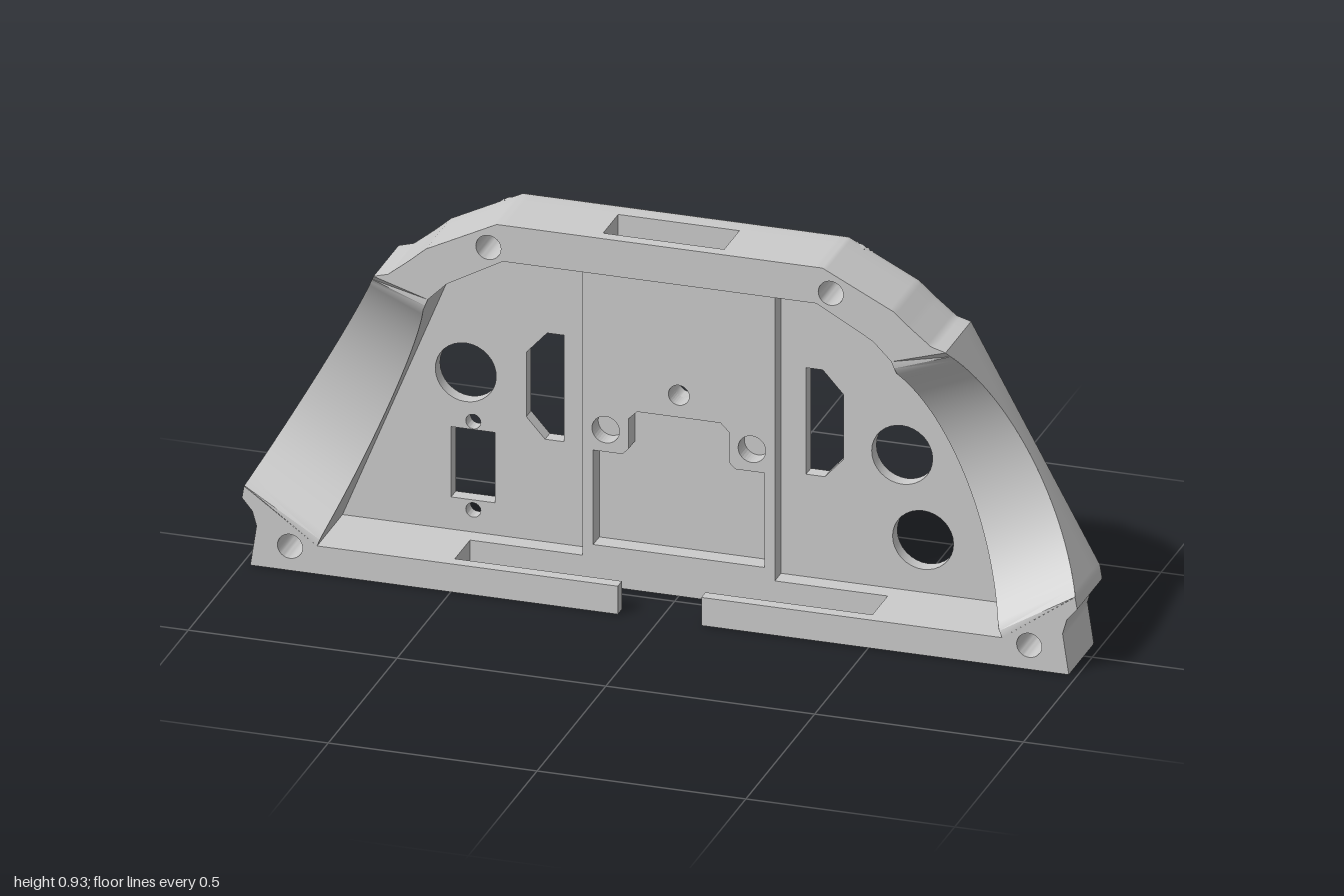
import * as THREE from 'three';
import { toCreasedNormals } from 'three/addons/utils/BufferGeometryUtils.js';

const BACK = -0.11, FRONT = 0.11, FLOOR = -0.075, PANEL = -0.03, SLOT = 0.08;
const ROUND = 0.045, SEAT = BACK + ROUND, BORE = 0.045;

// Right halves of the outer and inner outlines, bottom centre to top centre
const OUTER = [[0.1, 0], [0.5, 0], [0.98, 0], [0.965, 0.1], [0.975, 0.135], [1, 0.165], [0.995, 0.195],
  [0.685, 0.76], [0.65, 0.77], [0.6, 0.81], [0.56, 0.845], [0.53, 0.86], [0.39, 0.93], [0.145, 0.93]];
const INNER = [[0.1, 0.07], [0.5, 0.07], [0.82, 0.07], [0.555, 0.72], [0.51, 0.765], [0.375, 0.84], [0.145, 0.84]];
const SCREWS = [[0.41, 0.87], [-0.41, 0.87], [0.885, 0.06], [-0.885, 0.06]];

const mirror = pts => pts.map(([x, y]) => [-x, y]);
const full = half => [...half, ...mirror(half).reverse()];
const lerp = (a, b, k) => [a[0] + (b[0] - a[0]) * k, a[1] + (b[1] - a[1]) * k];
const circle = (x, y, r, n = 32) => Array.from({ length: n }, (_, i) => {
  const a = i / n * Math.PI * 2;
  return [x + r * Math.cos(a), y + r * Math.sin(a)];
});

// Height of the front edge: a cylinder scoops out each slanted side
function frontZ([x, y]) {
  const t = (Math.abs(x) - 0.84) * -0.477 + (y - 0.475) * 0.879, R = 0.4515;
  if (y < 0.08 || Math.abs(t) > 0.322) return FRONT;
  return FRONT - (Math.sqrt(R * R - t * t) - (R - 0.135));
}

// Inward mitred offset of the outer outline; the bottom edge stays flat
function inset(pts, d) {
  const n = pts.length;
  const normal = (a, b) => {
    const l = Math.hypot(b[0] - a[0], b[1] - a[1]);
    return [-(b[1] - a[1]) / l, (b[0] - a[0]) / l];
  };
  return pts.map((p, i) => {
    const a = normal(pts[(i + n - 1) % n], p), b = normal(p, pts[(i + 1) % n]);
    if (p[1] === 0) return Math.abs(p[0]) < 0.9 ? p : [p[0] - Math.sign(p[0]) * d, 0];
    const k = d / (1 + a[0] * b[0] + a[1] * b[1]);
    return [p[0] + (a[0] + b[0]) * k, p[1] + (a[1] + b[1]) * k];
  });
}

// Surface through columns of points, leaving out quads rejected by keep(x, y, z)
function loft(cols, closed = false, keep = () => true) {
  const pos = [];
  for (let i = 0; i < cols.length - (closed ? 0 : 1); i++) {
    const A = cols[i], B = cols[(i + 1) % cols.length];
    for (let j = 0; j < A.length - 1; j++) {
      const q = [A[j], B[j], B[j + 1], A[j + 1]];
      const c = [0, 1, 2].map(k => (q[0][k] + q[1][k] + q[2][k] + q[3][k]) / 4);
      if (keep(...c)) for (const k of [0, 1, 2, 0, 2, 3]) pos.push(...q[k]);
    }
  }
  const g = new THREE.BufferGeometry();
  g.setAttribute('position', new THREE.Float32BufferAttribute(pos, 3));
  return toCreasedNormals(g, 0.6);
}

const toShape = (pts, holes = []) => {
  const s = new THREE.Shape(pts.map(p => new THREE.Vector2(...p)));
  s.holes = holes.map(h => new THREE.Path(h.map(p => new THREE.Vector2(...p))));
  return s;
};
const tube = (pts, z0, z1) => loft(pts.map(([x, y]) => [[x, y, z0], [x, y, z1]]), true);

export function createModel() {
  const group = new THREE.Group();
  const mat = new THREE.MeshStandardMaterial({ color: 0xcccccc, side: THREE.DoubleSide });
  const add = (name, geo, z = 0) => {
    const m = new THREE.Mesh(geo, mat);
    m.name = name;
    m.position.z = z;
    group.add(m);
    return m;
  };
  const flat = (name, pts, holes, z) => add(name, new THREE.ShapeGeometry(toShape(pts, holes)), z);

  // Finely divided outlines: outer edge p with its inset o
  const outer = full(OUTER), rim = inset(outer, ROUND), inner = full(INNER);
  const divide = (pts, fn) => pts.forEach((p, i) => {
    const j = (i + 1) % pts.length;
    const n = Math.ceil(Math.hypot(pts[j][0] - p[0], pts[j][1] - p[1]) / 0.01);
    for (let k = 0; k < n; k++) fn(i, j, k / n);
  });
  const edge = [], innerEdge = [];
  divide(outer, (i, j, k) => edge.push({ p: lerp(outer[i], outer[j], k), o: lerp(rim[i], rim[j], k) }));
  divide(inner, (i, j, k) => innerEdge.push(lerp(inner[i], inner[j], k)));

  // Openings in the walls: top slot, bottom slot with its front gap, screw recesses
  const keep = (x, y, z) => {
    const inSlot = z > PANEL && z < SLOT, ax = Math.abs(x);
    if (y > 0.8 && ax < 0.145 && inSlot) return false;
    if (y < 0.0701 && ((ax < 0.5 && inSlot) || (ax < 0.1 && z > SLOT))) return false;
    return z > SEAT || !SCREWS.some(s => Math.hypot(x - s[0], y - s[1]) < BORE);
  };

  // Outer skin with rounded back edge
  add('outerWall', loft(edge.map(({ p, o }) => {
    const col = [];
    for (let k = 8; k >= 0; k--) {
      const a = k / 8 * Math.PI / 2;
      col.push([...lerp(p, o, 1 - Math.cos(a)), SEAT - ROUND * Math.sin(a)]);
    }
    for (const z of [PANEL, SLOT, FRONT]) col.push([...p, Math.min(z, frontZ(p))]);
    return col;
  }), true, keep));
  add('innerWall', loft(innerEdge.map(p =>
    [FLOOR, PANEL, SLOT, FRONT].map(z => [...p, Math.min(z, frontZ(p))])), true, keep));

  // Front rims and scooped sides
  flat('topRim', [...full(OUTER.slice(7)), ...full(INNER.slice(3)).reverse()],
    SCREWS.slice(0, 2).map(s => circle(...s, 0.03)), FRONT);
  for (const s of [1, -1]) {
    const m = pts => s > 0 ? pts : mirror(pts);
    flat('bottomRim', m([...OUTER.slice(0, 7), ...INNER.slice(0, 3).reverse()]),
      [circle(0.885 * s, 0.06, 0.03)], FRONT);
    const cols = [];
    for (let k = 0; k <= 40; k++) {
      const ends = [lerp(OUTER[6], OUTER[7], k / 40), lerp(INNER[2], INNER[3], k / 40)];
      cols.push(m(ends).map(p => [...p, frontZ(p)]));
    }
    add('sideScoop', loft(cols));
  }

  // Slot linings
  const lining = (name, path, y0, y1, closed) =>
    add(name, loft(path.map(([x, z]) => [[x, y0, z], [x, y1, z]]), closed));
  lining('topSlot', [[0.145, PANEL], [0.145, SLOT], [-0.145, SLOT], [-0.145, PANEL]], 0.84, 0.93, true);
  const half = [[0.1, FRONT], [0.1, SLOT], [0.5, SLOT], [0.5, PANEL]];
  lining('bottomSlot', full(half), 0, 0.07, false);

  // Openings through the back plate
  const hex = [[0.29, 0.325], [0.335, 0.325], [0.38, 0.375], [0.38, 0.535], [0.33, 0.59], [0.29, 0.59]];
  const centre = circle(0, 0.5, 0.025);
  const cutouts = [hex, mirror(hex), centre,
    circle(0.52, 0.405, 0.073), circle(0.57, 0.2, 0.073), circle(-0.525, 0.465, 0.073),
    [[-0.56, 0.15], [-0.455, 0.15], [-0.455, 0.325], [-0.56, 0.325]],
    circle(-0.507, 0.345, 0.018), circle(-0.507, 0.125, 0.018)];
  cutouts.forEach(c => add('cutoutEdge', tube(c, BACK, FLOOR)));
  flat('floor', inner, cutouts, FLOOR);

  // Back face, notched where the screw recesses cut its edge
  const backPts = [];
  let hit = null;
  for (const { o } of edge) {
    const s = SCREWS.find(c => Math.hypot(o[0] - c[0], o[1] - c[1]) < BORE);
    if (!s && hit) {
      const q = backPts[backPts.length - 1];
      const a0 = Math.atan2(q[1] - hit[1], q[0] - hit[0]);
      let a1 = Math.atan2(o[1] - hit[1], o[0] - hit[0]);
      if (a1 > a0) a1 -= Math.PI * 2;
      for (let k = 0; k <= 24; k++) {
        const a = a0 + (a1 - a0) * k / 24;
        backPts.push([hit[0] + BORE * Math.cos(a), hit[1] + BORE * Math.sin(a)]);
      }
    }
    hit = s;
    if (!s) backPts.push(o);
  }
  flat('backFace', backPts, cutouts, BACK);

  // Screw holes with recesses that follow the rounded edge
  const backZ = ([x, y]) => {
    const d = Math.min(...edge.filter(e => e.p[1] > 0).map(e => Math.hypot(x - e.p[0], y - e.p[1])));
    return d > ROUND ? BACK : SEAT - Math.sqrt(ROUND ** 2 - (ROUND - d) ** 2);
  };
  for (const [x, y] of SCREWS) {
    add('screwHole', tube(circle(x, y, 0.03), SEAT, FRONT));
    add('screwRecess', loft(circle(x, y, BORE, 48).map(p => [[...p, backZ(p)], [...p, SEAT]]), true));
    flat('screwSeat', circle(x, y, BORE), [circle(x, y, 0.03)], SEAT);
  }

  // Raised centre panel with stepped pocket and two blind holes
  const pocket = full([[0.205, 0.1], [0.205, 0.335], [0.135, 0.335], [0.12, 0.35], [0.12, 0.425], [0.1, 0.445]]);
  const panel = toShape([[-0.23, 0.07], [0.23, 0.07], [0.23, 0.84], [-0.23, 0.84]],
    [pocket, centre, circle(0.175, 0.39, 0.033), circle(-0.175, 0.39, 0.033)]);
  add('centrePanel', new THREE.ExtrudeGeometry(panel, { depth: PANEL - FLOOR, bevelEnabled: false }), FLOOR);

  return group;
}
